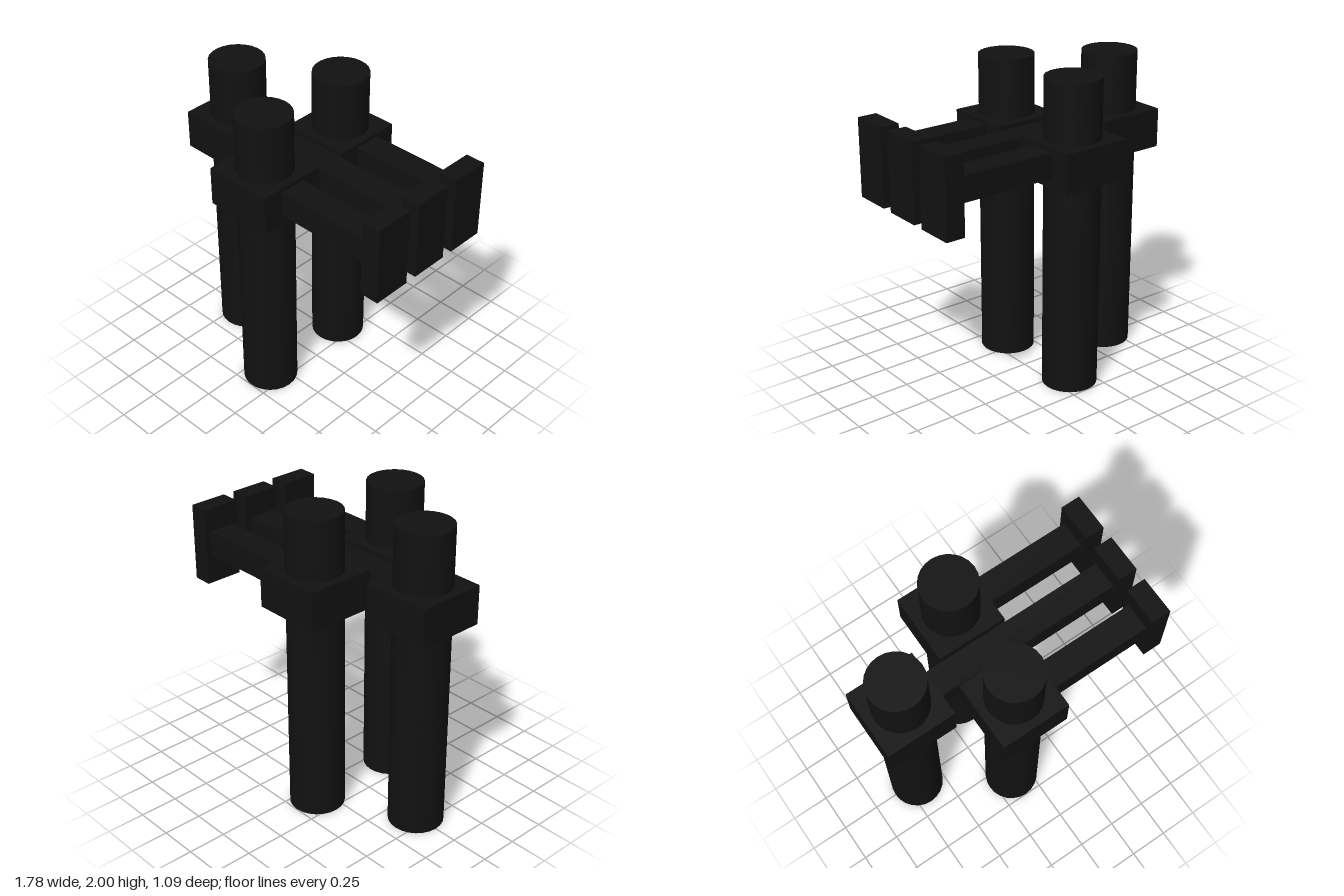
import * as THREE from 'three';

export function createModel() {
  const model = new THREE.Group();
  const black = new THREE.MeshStandardMaterial({ color: 0x111111 });
  black.name = 'black';

  const add = (parent, name, geometry, x, y, z) => {
    const mesh = new THREE.Mesh(geometry, black);
    mesh.name = name;
    mesh.position.set(x, y, z);
    parent.add(mesh);
  };

  const plateInner = 0.765, plateOuter = 0.89;

  // One unit: upright cylinder, square collar, horizontal arm and end plate
  const addUnit = (name, x, z) => {
    const unit = new THREE.Group();
    unit.name = name;
    add(unit, 'cylinder', new THREE.CylinderGeometry(0.175, 0.175, 2, 24), x, 1, z);
    add(unit, 'collar', new THREE.BoxGeometry(0.45, 0.25, 0.448), x, 1.5, z);

    const armStart = x + 0.2;
    add(unit, 'arm', new THREE.BoxGeometry(plateInner - armStart, 0.16, 0.175),
      (armStart + plateInner) / 2, 1.52, z);
    add(unit, 'endPlate', new THREE.BoxGeometry(plateOuter - plateInner, 0.5, 0.247),
      (plateInner + plateOuter) / 2, 1.5, z);
    model.add(unit);
  };

  addUnit('middleUnit', -0.67, 0);
  addUnit('frontUnit', -0.11, 0.323);
  addUnit('backUnit', -0.11, -0.323);

  return model;
}
